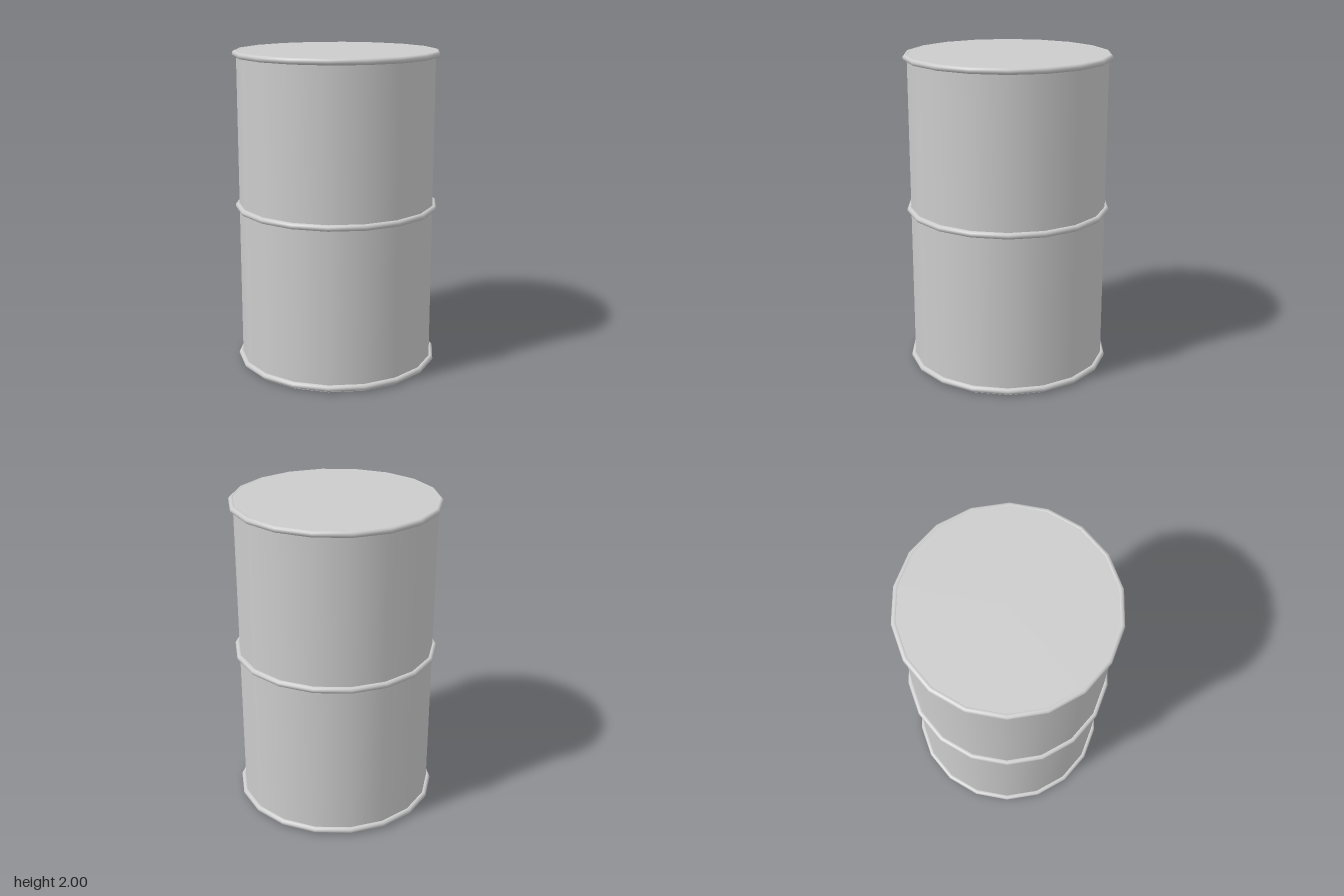
import * as THREE from 'three';

const SIDES = 18;
const BODY_RADIUS = 0.617;
const BODY_TOP = 1.998;
const RING_RADIUS = 0.623;
const RING_TUBE = 0.0195;

export function createModel() {
  const drum = new THREE.Group();
  drum.name = 'drum';
  const material = new THREE.MeshStandardMaterial({ color: 0xcccccc });

  // Closed body, turned so that a corner points along x
  const bodyGeometry = new THREE.CylinderGeometry(
    BODY_RADIUS, BODY_RADIUS, BODY_TOP, SIDES, 1, false, Math.PI / 2);
  bodyGeometry.translate(0, BODY_TOP / 2, 0);
  const body = new THREE.Mesh(bodyGeometry, material);
  body.name = 'body';
  drum.add(body);

  // Round hoops at the foot, middle and rim
  const ringGeometry = new THREE.TorusGeometry(RING_RADIUS, RING_TUBE, 12, SIDES);
  ringGeometry.rotateX(Math.PI / 2);
  const hoops = { bottomHoop: 0.027, middleHoop: 1.027, topHoop: 2 - RING_TUBE };
  for (const [name, y] of Object.entries(hoops)) {
    const hoop = new THREE.Mesh(ringGeometry, material);
    hoop.name = name;
    hoop.position.y = y;
    drum.add(hoop);
  }

  return drum;
}
